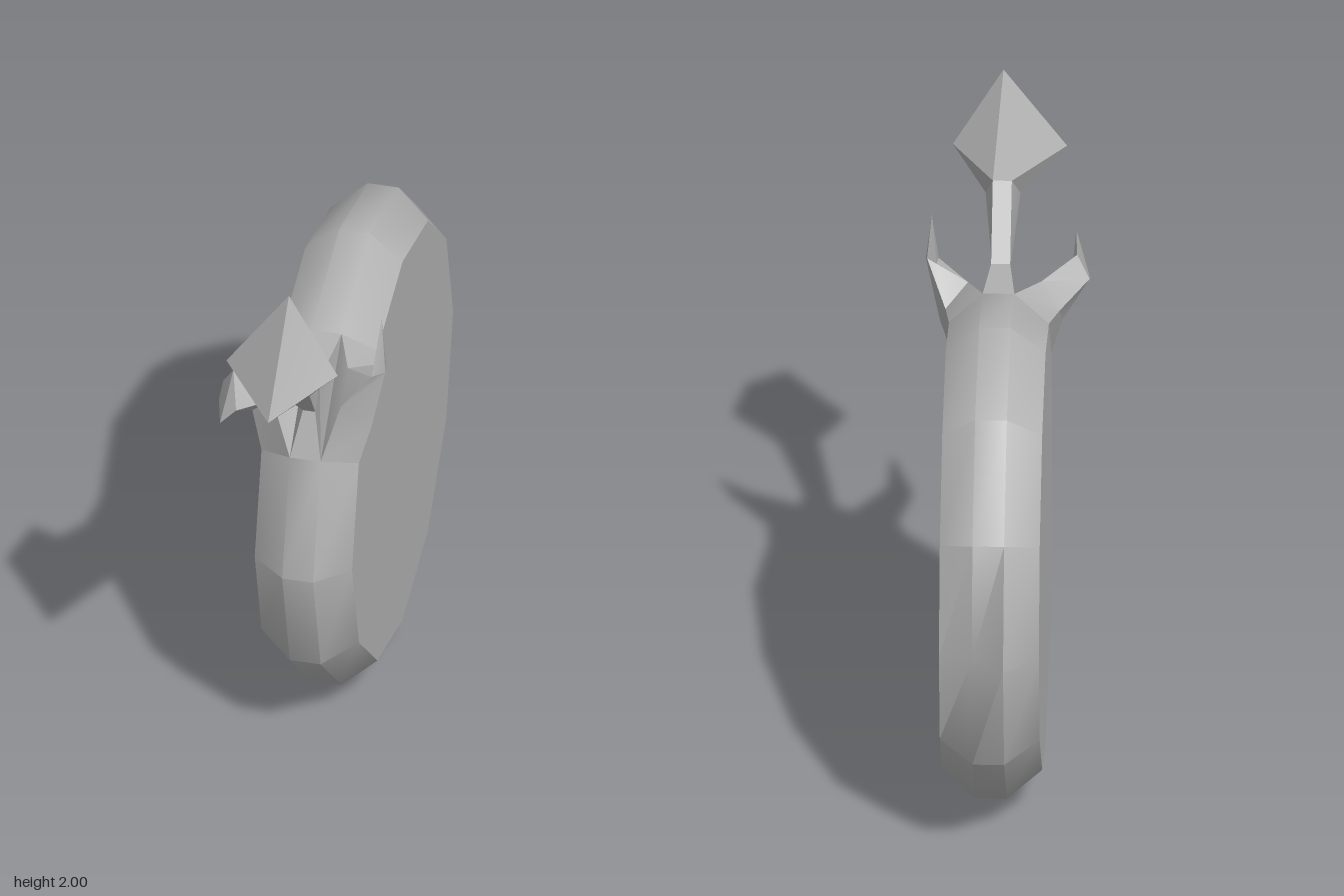
import * as THREE from 'three';
import { toCreasedNormals } from 'three/addons/utils/BufferGeometryUtils.js';

const grey = new THREE.MeshStandardMaterial({ color: 0xb2b2b2 });
grey.name = 'stone grey';

// Mesh from a list of triangles, each made of three [x, y, z] corners
function facetMesh(name, tris, crease) {
  const g = new THREE.BufferGeometry();
  g.setAttribute('position', new THREE.Float32BufferAttribute(tris.flat(2), 3));
  const mesh = new THREE.Mesh(toCreasedNormals(g, crease), grey);
  mesh.name = name;
  return mesh;
}

const quad = (a, b, c, d) => [[a, b, c], [a, c, d]];

// Triangles joining successive rings; a ring of one point closes to a tip
function loft(rings) {
  const tris = [];
  for (let r = 0; r < rings.length - 1; r++) {
    const a = rings[r], b = rings[r + 1], n = a.length;
    for (let i = 0; i < n; i++) {
      const j = (i + 1) % n;
      if (b.length === 1) tris.push([a[i], a[j], b[0]]);
      else tris.push(...quad(a[i], a[j], b[j], b[i]));
    }
  }
  return tris;
}

// Bevelled twelve-sided disc: x position and radius of each ring
const SIDES = 12, CY = 0.795, CZ = -0.205;
const rings = [[-0.14, 0.703], [-0.03, 0.795], [0.07, 0.795], [0.175, 0.703]];
function rim(j, k) {
  k %= SIDES;
  const x = rings[j][0];
  const r = j === 2 && k === 6 ? 0.715 : rings[j][1]; // dent at the back
  const a = (k / SIDES) * Math.PI * 2;
  return [x, CY + r * Math.sin(a), CZ + r * Math.cos(a)];
}
// Rim patch that a spike or the neck grows out of
const patch = (j) => [rim(j, 1), rim(j + 1, 1), rim(j + 1, 2), rim(j, 2)];

function makeDisc() {
  const tris = [];
  for (let k = 0; k < SIDES; k++) {
    if (k !== 1) {
      for (let j = 0; j < 3; j++) tris.push(...quad(rim(j, k), rim(j + 1, k), rim(j + 1, k + 1), rim(j, k + 1)));
    }
    tris.push([[rings[0][0], CY, CZ], rim(0, k), rim(0, k + 1)]);
    tris.push([[rings[3][0], CY, CZ], rim(3, k + 1), rim(3, k)]);
  }
  return facetMesh('disc', tris, 0.72);
}

export function createModel() {
  const model = new THREE.Group();
  model.name = 'spikedDisc';
  model.add(makeDisc());

  // Upright spike on the left (+x)
  model.add(facetMesh('leftSpike', loft([
    patch(2),
    [[0.12, 1.37, 0.42], [0.21, 1.28, 0.37], [0.19, 1.38, 0.27], [0.12, 1.45, 0.32]],
    [[0.215, 1.49, 0.4], [0.255, 1.5, 0.38], [0.25, 1.52, 0.345], [0.22, 1.5, 0.345]],
    [[0.235, 1.68, 0.345]],
  ]), 0.4));

  // Forward-bent spike on the right (-x)
  model.add(facetMesh('rightSpike', loft([
    patch(0),
    [[-0.175, 1.28, 0.38], [-0.1, 1.36, 0.42], [-0.11, 1.45, 0.33], [-0.17, 1.38, 0.27]],
    [[-0.26, 1.38, 0.48], [-0.2, 1.36, 0.5], [-0.22, 1.48, 0.45], [-0.26, 1.41, 0.42]],
    [[-0.21, 1.44, 0.68]],
  ]), 0.4));

  // Neck reaching forward and up to the head
  const neckTop = [[-0.035, 1.58, 0.66], [0.075, 1.58, 0.66], [0.05, 1.67, 0.58], [-0.01, 1.67, 0.58]];
  model.add(facetMesh('neck', loft([
    patch(1),
    [[0, 1.345, 0.43], [0.04, 1.345, 0.43], [0.05, 1.465, 0.41], [-0.01, 1.465, 0.41]],
    neckTop,
  ]), 0.4));

  // Pointed head
  const [b0, b1, b2, b3] = neckTop;
  const T = [0.02, 2, 0.71], L = [-0.18, 1.72, 0.72], R = [0.18, 1.72, 0.72];
  const F = [0.02, 1.71, 1], D = [0.07, 1.8, 0.8];
  model.add(facetMesh('head', [
    [T, L, F], [T, F, D], [T, D, R], [D, F, R],
    [L, b0, F], [F, b0, b1], [F, b1, R],
    [R, b1, b2], [R, b2, T], [T, b2, b3], [T, b3, L], [L, b3, b0],
  ], 0.3));
  return model;
}
